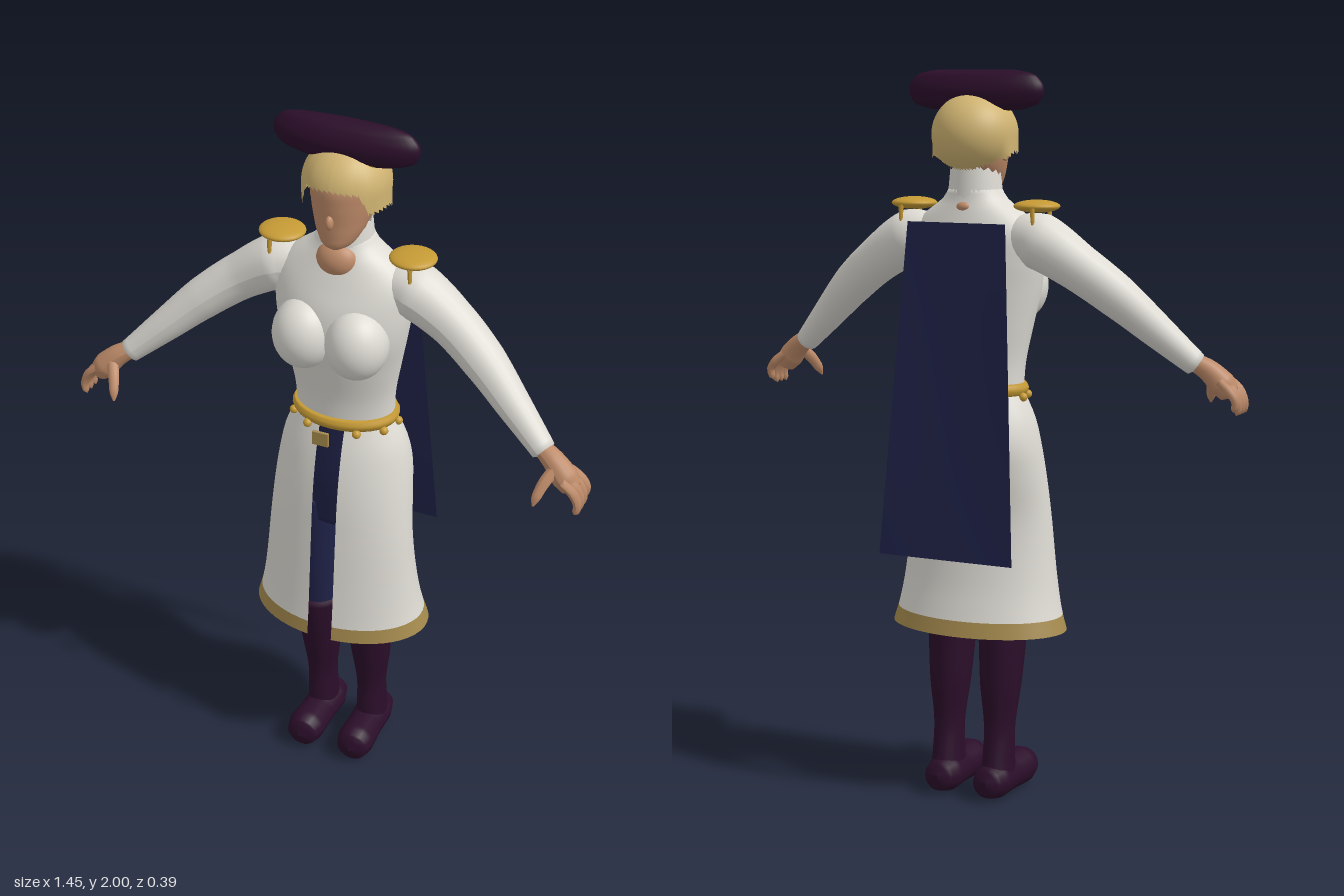
import * as THREE from 'three';

const mat = (name, color, side = THREE.FrontSide) => {
  const m = new THREE.MeshStandardMaterial({ color, side });
  m.name = name;
  return m;
};

// Elliptical cross-sections [y, halfWidth, zFront, zBack], bottom to top.
// gap leaves a front slit of that half-width; cap closes the ends.
function loft(sections, { n = 32, rows = 24, gap = 0, cap = true, cx = 0, y0, y1 } = {}) {
  const spline = new THREE.CubicInterpolant(sections.map(s => s[0]), sections.flatMap(s => s.slice(1)), 3);
  const lo = y0 ?? sections[0][0], hi = y1 ?? sections.at(-1)[0];
  const pos = [], idx = [], cols = gap ? n + 1 : n;
  for (let i = 0; i <= rows; i++) {
    const y = lo + (hi - lo) * i / rows;
    const [rx, zf, zb] = spline.evaluate(y);
    const a0 = gap ? Math.asin(gap / rx) : 0;
    for (let j = 0; j < cols; j++) {
      const a = a0 + (2 * Math.PI - 2 * a0) * j / n;
      pos.push(cx + rx * Math.sin(a), y, (zf + zb) / 2 + (zf - zb) / 2 * Math.cos(a));
    }
  }
  for (let i = 0; i < rows; i++) for (let j = 0; j < n; j++) {
    const k = (j + 1) % cols, a = i * cols, b = a + cols;
    idx.push(a + j, a + k, b + k, a + j, b + k, b + j);
  }
  if (cap && !gap) for (const [row, y] of [[0, lo], [rows, hi]]) {
    const [, zf, zb] = spline.evaluate(y), c = pos.length / 3;
    pos.push(cx, y, (zf + zb) / 2);
    for (let j = 0; j < n; j++) {
      const p = row * cols + j, q = row * cols + (j + 1) % n;
      row ? idx.push(c, p, q) : idx.push(c, q, p);
    }
  }
  const g = new THREE.BufferGeometry();
  g.setAttribute('position', new THREE.Float32BufferAttribute(pos, 3));
  g.setIndex(idx);
  g.computeVertexNormals();
  return g;
}

// Tube with a radius at each point [x, y, z, r]; s mirrors it in x.
function limb(points, s = 1, seg = 24, n = 14) {
  const curve = new THREE.CatmullRomCurve3(points.map(p => new THREE.Vector3(p[0] * s, p[1], p[2])));
  const g = new THREE.TubeGeometry(curve, seg, 1, n, false), p = g.attributes.position;
  const len = [0];
  for (let i = 1; i < points.length; i++)
    len.push(len[i - 1] + Math.hypot(...[0, 1, 2].map(k => points[i][k] - points[i - 1][k])));
  const radius = new THREE.LinearInterpolant(len, points.map(q => q[3]), 1);
  const v = new THREE.Vector3();
  for (let i = 0; i <= seg; i++) {
    const c = curve.getPointAt(i / seg), r = radius.evaluate(len.at(-1) * i / seg)[0];
    for (let j = 0; j <= n; j++) {
      const k = i * (n + 1) + j;
      v.fromBufferAttribute(p, k).sub(c).multiplyScalar(r).add(c);
      p.setXYZ(k, v.x, Math.max(v.y, 0), v.z);
    }
  }
  g.computeVertexNormals();
  return g;
}

const ball = (x, y, z, rx, ry, rz) => new THREE.SphereGeometry(1, 28, 20).scale(rx, ry, rz).translate(x, y, z);
const box = (x, y, z, w, h, d) => new THREE.BoxGeometry(w, h, d).translate(x, y, z);

// Bowl of hair whose lower edge is high over the face and low at the nape
function hairGeometry() {
  const n = 48, rows = 20, g = new THREE.SphereGeometry(1, n, rows), p = g.attributes.position;
  for (let i = 0; i <= rows; i++) for (let j = 0; j <= n; j++) {
    const a = 2 * Math.PI * j / n, front = Math.cos(a), side = Math.abs(Math.sin(a));
    const open = front > 0 ? 1 - THREE.MathUtils.smoothstep(side, 0.66, 0.76) : 0;
    const edge = THREE.MathUtils.lerp(front < 0 ? 2.05 + 0.55 * -front : 2.05, 1.42 + 0.12 * side, open);
    const t = edge * i / rows;
    const r = t > Math.PI / 2 && front > -0.3 ? 1 : Math.sin(t);
    p.setXYZ(i * (n + 1) + j, 0.116 * r * Math.sin(a), 1.83 + 0.112 * Math.cos(t), -0.02 + 0.12 * r * front);
  }
  g.computeVertexNormals();
  return g;
}

export function createModel() {
  const model = new THREE.Group();
  const white = mat('white cloth', 0xdedbd4, THREE.DoubleSide);
  const gold = mat('gold', 0xc59a35);
  const trim = mat('hem trim', 0xa58a4e, THREE.DoubleSide);
  const hairTan = mat('blonde hair', 0xd0b472, THREE.DoubleSide);
  const skin = mat('skin', 0xbd8a68);
  const plum = mat('dark plum', 0x2b0e2a);
  const navy = mat('navy cloth', 0x1f2248, THREE.DoubleSide);
  const add = (name, geo, m) => {
    const mesh = new THREE.Mesh(geo, m);
    mesh.name = name;
    model.add(mesh);
  };

  // Jacket
  add('jacket', loft([
    [1.13, 0.137, 0.08, -0.113], [1.22, 0.142, 0.085, -0.105], [1.32, 0.16, 0.105, -0.11],
    [1.42, 0.18, 0.125, -0.115], [1.5, 0.19, 0.115, -0.118], [1.57, 0.188, 0.088, -0.112],
    [1.62, 0.145, 0.068, -0.1], [1.66, 0.09, 0.056, -0.09], [1.69, 0.07, 0.052, -0.088]], { n: 40, rows: 36 }), white);
  for (const s of [-1, 1]) add('bust', ball(s * 0.075, 1.42, 0.087, 0.085, 0.1, 0.088), white);
  add('chestOpening', ball(0, 1.63, 0.035, 0.06, 0.052, 0.048), skin);
  add('backOpening', ball(0, 1.64, -0.085, 0.022, 0.014, 0.016), skin);

  // Collar with a pointed edge, rising to the back
  const collar = loft([[1.66, 0.076, 0.056, -0.09], [1.72, 0.068, 0.055, -0.085]], { rows: 4, cap: false });
  const cp = collar.attributes.position;
  for (let i = 0; i < cp.count; i++)
    cp.setY(i, cp.getY(i) + (cp.getY(i) - 1.66) * (-cp.getZ(i) * 4 + (i % 2 ? 0.18 : 0)));
  collar.computeVertexNormals();
  add('collar', collar, white);

  // Coat skirt, open at the front, with a trimmed hem
  const skirt = [[0.48, 0.255, 0.178, -0.162], [0.53, 0.24, 0.172, -0.15], [0.62, 0.224, 0.163, -0.13],
    [0.8, 0.206, 0.147, -0.115], [0.92, 0.197, 0.135, -0.14], [1.0, 0.188, 0.122, -0.155],
    [1.07, 0.172, 0.105, -0.14], [1.14, 0.14, 0.082, -0.113]];
  add('coatSkirt', loft(skirt, { n: 48, gap: 0.036, y0: 0.522 }), white);
  add('skirtHem', loft(skirt, { n: 48, gap: 0.036, rows: 4, y1: 0.522 }), trim);

  // Belt, small drops and buckle
  add('belt', loft([[1.134, 0.144, 0.09, -0.12], [1.15, 0.151, 0.097, -0.125], [1.166, 0.144, 0.09, -0.12]], { rows: 6 }), gold);
  for (let i = 0; i < 10; i++) {
    const a = 0.5 + i * (2 * Math.PI - 1) / 9;
    add('beltDrop', ball(0.149 * Math.sin(a), 1.13, -0.015 + 0.11 * Math.cos(a), 0.012, 0.012, 0.012), gold);
  }
  add('buckle', box(0, 1.143, 0.155, 0.045, 0.04, 0.009), trim);

  // Trousers
  add('trouserHips', loft([[0.8, 0.13, 0.07, -0.09], [0.95, 0.15, 0.08, -0.11], [1.13, 0.125, 0.07, -0.1]]), navy);

  for (const s of [-1, 1]) {
    // Legs and boots
    add('trouserLeg', loft([[0.46, 0.06, 0.06, -0.07], [0.65, 0.065, 0.068, -0.078], [0.86, 0.074, 0.07, -0.088]], { cx: s * 0.076, n: 20 }), navy);
    add('bootShaft', loft([[0.05, 0.045, 0.03, -0.1], [0.12, 0.042, 0.03, -0.085], [0.2, 0.042, 0.025, -0.072],
      [0.32, 0.056, 0.045, -0.078], [0.42, 0.063, 0.062, -0.078], [0.5, 0.067, 0.072, -0.078]], { cx: s * 0.078, n: 24 }), plum);
    add('bootFoot', limb([[0.075, 0.06, -0.115, 0.004], [0.075, 0.058, -0.105, 0.04], [0.075, 0.056, -0.06, 0.053],
      [0.077, 0.055, 0.02, 0.05], [0.079, 0.056, 0.1, 0.054], [0.08, 0.055, 0.135, 0.043], [0.08, 0.055, 0.147, 0.003]], s, 36, 18), plum);

    // Sleeves
    add('sleeve', limb([[0.13, 1.56, -0.02, 0.06], [0.19, 1.55, -0.02, 0.077], [0.3, 1.485, -0.01, 0.064],
      [0.4, 1.41, 0.018, 0.058], [0.5, 1.32, 0.055, 0.046], [0.575, 1.252, 0.083, 0.036], [0.605, 1.225, 0.095, 0.032],
      [0.608, 1.222, 0.096, 0.004]], s, 40, 20), white);

    // Hands with four fingers and a thumb
    add('hand', limb([[0.59, 1.24, 0.09, 0.024], [0.63, 1.215, 0.103, 0.03], [0.665, 1.18, 0.112, 0.036],
      [0.685, 1.155, 0.115, 0.028], [0.692, 1.145, 0.116, 0.003]], s), skin);
    for (let i = 0; i < 4; i++) {
      const z = 0.078 + i * 0.024, d = i === 0 ? 0.012 : 0;
      add('finger', limb([[0.668, 1.19, z + 0.003, 0.012], [0.698, 1.165, z, 0.014], [0.714, 1.13 + d, z, 0.012],
        [0.71, 1.105 + d, z + 0.002, 0.009], [0.708, 1.1 + d, z + 0.002, 0.001]], s, 12, 8), skin);
    }
    add('thumb', limb([[0.64, 1.205, 0.12, 0.017], [0.622, 1.175, 0.15, 0.016], [0.61, 1.14, 0.175, 0.013],
      [0.606, 1.12, 0.185, 0.003]], s, 12, 8), skin);

    // Epaulettes
    add('epaulette', ball(s * 0.184, 1.643, -0.021, 0.063, 0.017, 0.06), gold);
    for (const z of [0.033, -0.075])
      add('epauletteTassel', limb([[0.196, 1.64, z, 0.007], [0.197, 1.61, z, 0.006], [0.197, 1.588, z, 0.003]], s, 6, 8), gold);
  }

  // Neck, face and hair
  add('neck', loft([[1.62, 0.058, 0.04, -0.07], [1.74, 0.05, 0.04, -0.065], [1.8, 0.05, 0.04, -0.06]], { n: 24, rows: 6 }), skin);
  add('head', loft([[1.672, 0.02, 0.07, 0.02], [1.682, 0.038, 0.083, -0.01], [1.71, 0.058, 0.088, -0.04], [1.75, 0.074, 0.09, -0.08],
    [1.8, 0.083, 0.094, -0.1], [1.85, 0.084, 0.092, -0.1], [1.9, 0.065, 0.06, -0.08]]), skin);
  add('nose', ball(0, 1.76, 0.09, 0.011, 0.02, 0.016), skin);
  for (const s of [-1, 1]) add('ear', ball(s * 0.085, 1.785, -0.01, 0.012, 0.025, 0.018), skin);
  add('hair', hairGeometry(), hairTan);

  // Flat wide hat with a gold band below
  add('hatBand', loft([[1.885, 0.085, 0.03, -0.055], [1.9, 0.11, 0.036, -0.06], [1.915, 0.115, 0.036, -0.062]], { rows: 4 }), gold);
  const hat = loft([[1.895, 0.135, 0.018, -0.045], [1.907, 0.175, 0.03, -0.06], [1.925, 0.193, 0.036, -0.066], [1.95, 0.2, 0.037, -0.067],
    [1.975, 0.187, 0.026, -0.057], [1.992, 0.16, 0.01, -0.042], [2.0, 0.115, -0.008, -0.024]], { n: 40 });
  add('hat', hat, plum);

  // Cape panel, widening and leaning back towards the hem
  const cape = new THREE.PlaneGeometry(2, 1, 8, 12), p = cape.attributes.position;
  for (let i = 0; i < p.count; i++) {
    const t = 0.5 - p.getY(i);
    p.setXYZ(i, p.getX(i) * (0.145 + 0.055 * t), 1.6 - 0.9 * t, -0.133 - 0.07 * t + 0.008 * Math.sin(Math.PI * t) * (1 - p.getX(i) ** 2));
  }
  cape.computeVertexNormals();
  add('cape', cape, navy);

  return model;
}
